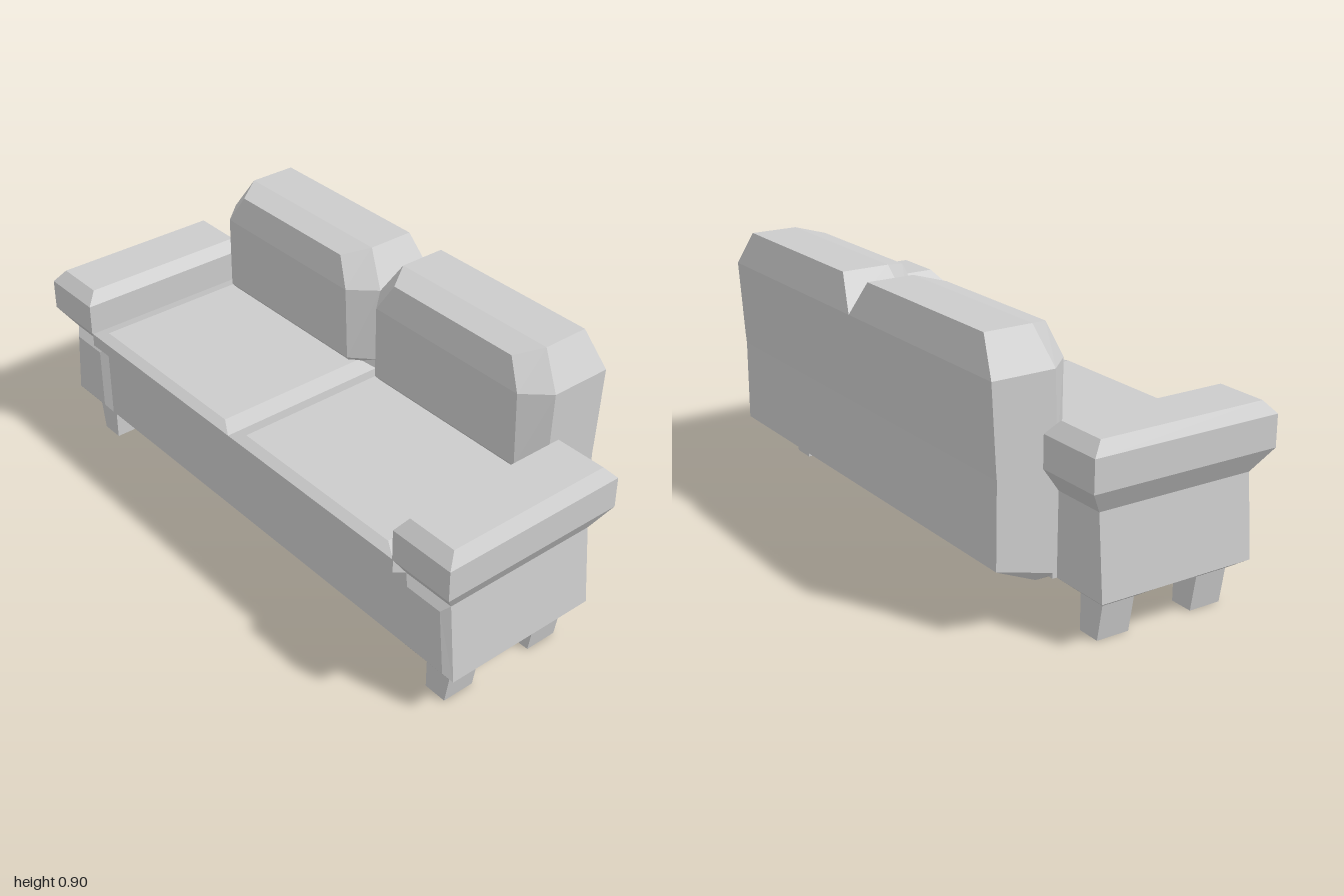
import * as THREE from 'three';

const material = new THREE.MeshStandardMaterial({ color: 0xcccccc, flatShading: true });

// Skins a stack of rings (each counter-clockwise seen from the last ring's side) and caps both ends.
function loft(name, rings, side = 1) {
  const pos = [];
  const src = side > 0 ? rings : rings.map(r => r.map(([x, y, z]) => [-x, y, z]).reverse());
  const tri = (a, b, c) => pos.push(...a, ...b, ...c);
  const n = src[0].length;
  for (let i = 0; i < src.length - 1; i++) {
    for (let j = 0; j < n; j++) {
      const k = (j + 1) % n;
      tri(src[i][j], src[i][k], src[i + 1][k]);
      tri(src[i][j], src[i + 1][k], src[i + 1][j]);
    }
  }
  // a mirrored ring is reversed, so its fan starts from the last corner
  const s = side > 0 ? 0 : n - 1;
  const first = src[0], last = src[src.length - 1];
  for (let j = 1; j < n - 1; j++) {
    const a = (s + j) % n, b = (s + j + 1) % n;
    tri(first[s], first[b], first[a]);
    tri(last[s], last[a], last[b]);
  }
  const geo = new THREE.BufferGeometry();
  geo.setAttribute('position', new THREE.Float32BufferAttribute(pos, 3));
  geo.computeVertexNormals();
  const mesh = new THREE.Mesh(geo, material);
  mesh.name = name;
  return mesh;
}

// Horizontal rectangle at height y
const rect = (y, x0, x1, z0, z1) => [[x0, y, z1], [x1, y, z1], [x1, y, z0], [x0, y, z0]];

// Six-sided back cushion section: xi insets the sides, xf insets the front face
const backRing = (y, xi, xf, zf, zm, zb, yf = y) => [
  [xi, y, zm], [xf, yf, zf], [0.77 - xf, yf, zf],
  [0.77 - xi, y, zm], [0.77 - xi, y, zb], [xi, y, zb],
];

export function createModel() {
  const sofa = new THREE.Group();
  sofa.name = 'sofa';

  // Base under the seat
  sofa.add(loft('base', [
    rect(0.155, -0.77, 0.77, -0.2, 0.36),
    rect(0.43, -0.77, 0.77, -0.2, 0.36),
  ]));

  // Lower back with its sloping underside
  sofa.add(loft('lowerBack', [
    rect(0.155, -0.75, 0.75, -0.245, -0.185),
    [[-0.77, 0.17, -0.185], [0.77, 0.17, -0.185], [0.77, 0.225, -0.395], [-0.77, 0.225, -0.395]],
    rect(0.5, -0.77, 0.77, -0.395, -0.19),
  ]));

  for (const side of [1, -1]) {
    const label = side > 0 ? 'left' : 'right';

    // Seat cushion, bevelled around the top and undercut at the front
    sofa.add(loft(label + 'SeatCushion', [
      rect(0.423, 0, 0.77, -0.22, 0.36),
      rect(0.452, 0, 0.77, -0.22, 0.412),
      rect(0.497, 0, 0.77, -0.22, 0.412),
      rect(0.515, 0.055, 0.715, -0.2, 0.382),
    ], side));

    // Back cushion
    sofa.add(loft(label + 'BackCushion', [
      backRing(0.497, 0, 0.085, -0.15, -0.19, -0.395),
      backRing(0.53, 0, 0.07, -0.125, -0.193, -0.398),
      backRing(0.785, 0, 0.075, -0.121, -0.203, -0.415),
      backRing(0.9, 0.075, 0.13, -0.145, -0.23, -0.39, 0.88),
    ], side));

    // Armrest with overhanging pad
    sofa.add(loft(label + 'Armrest', [
      rect(0.155, 0.77, 0.98, -0.185, 0.36),
      rect(0.423, 0.77, 0.955, -0.185, 0.36),
      rect(0.5, 0.77, 1, -0.24, 0.415),
      rect(0.603, 0.77, 1, -0.24, 0.415),
      rect(0.643, 0.797, 0.973, -0.202, 0.378),
    ], side));

    // Raised panel on the front of the arm
    sofa.add(loft(label + 'ArmPanel', [
      [[0.77, 0.155, 0.36], [0.98, 0.155, 0.36], [0.955, 0.423, 0.36], [0.77, 0.423, 0.36]],
      [[0.795, 0.18, 0.378], [0.952, 0.18, 0.378], [0.93, 0.397, 0.378], [0.795, 0.397, 0.378]],
    ], side));

    // Feet with flared tops
    for (const [place, z0, z1, f0, f1] of [
      ['Front', 0.205, 0.317, 0.17, 0.36],
      ['Rear', -0.14, -0.027, -0.185, 0.005],
    ]) {
      sofa.add(loft(label + place + 'Foot', [
        rect(0, 0.825, 0.905, z0, z1),
        rect(0.118, 0.825, 0.925, z0, z1),
        rect(0.155, 0.77, 0.98, f0, f1),
      ], side));
    }
  }
  return sofa;
}
